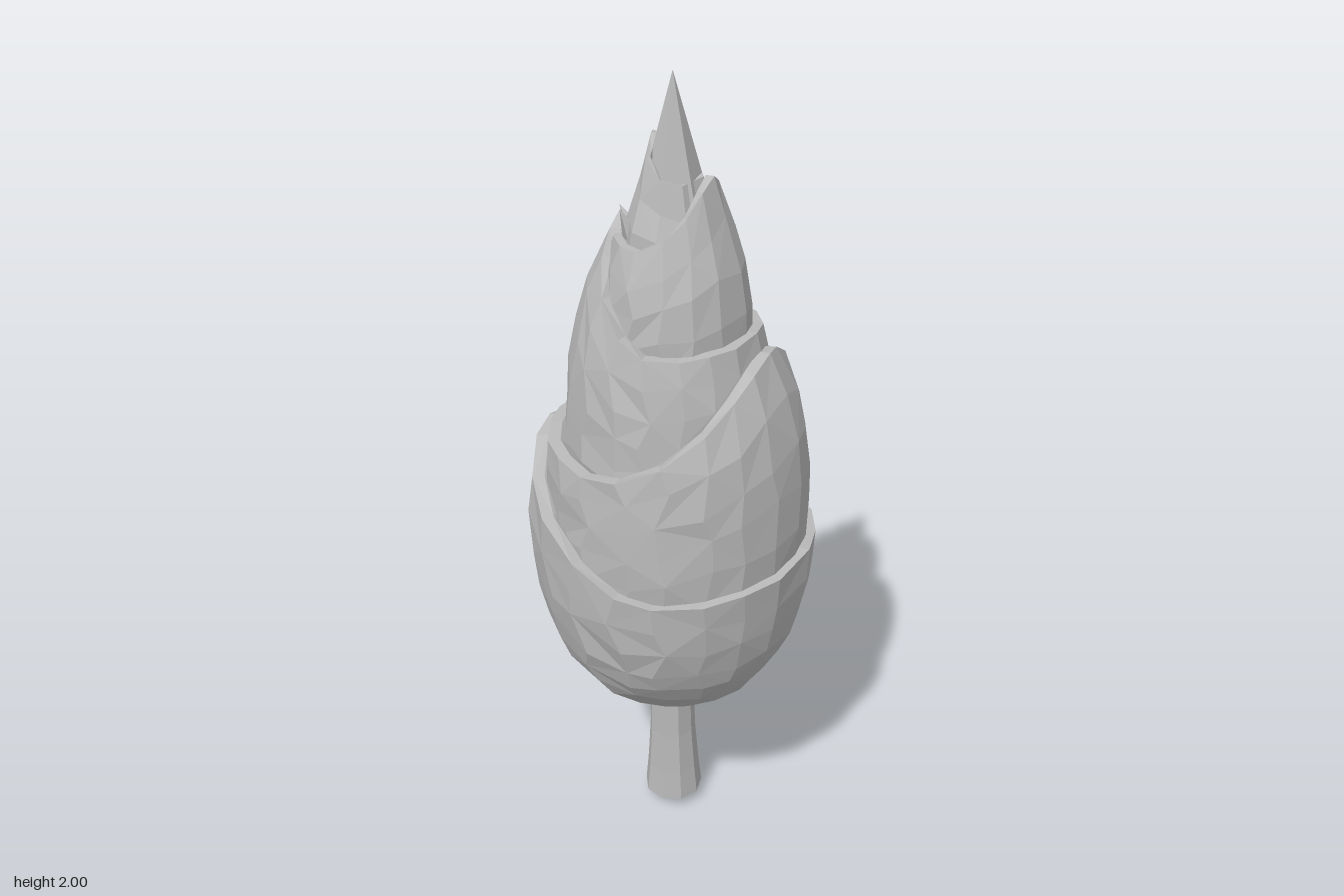
import * as THREE from 'three';

const grey = new THREE.MeshStandardMaterial({ color: 0xbababa, flatShading: true });
grey.name = 'plainGrey';

// Small repeatable noise in -1..1
const noise = (a, b) => {
  const s = Math.sin(a * 127.1 + b * 311.7) * 43758.5453;
  return (s - Math.floor(s)) * 2 - 1;
};

// Radius at height y from a list of [y, radius]
function radiusAt(profile, y) {
  if (y <= profile[0][0]) return profile[0][1];
  for (let i = 1; i < profile.length; i++) {
    const [y0, r0] = profile[i - 1], [y1, r1] = profile[i];
    if (y <= y1) return r0 + (r1 - r0) * (y - y0) / (y1 - y0);
  }
  return profile[profile.length - 1][1];
}

// Wrapped sheath: a shell of revolution whose rim rises to a peak on one side
function sheath({ name, profile, lo, hi, side, back = 0, shift = 0, shiftZ = 0, depth = 1, seg = 20, rows = 6, thick = 0.03, ease = 1, seed, rough = 0.003 }) {
  const pos = [], index = [], y0 = profile[0][0];
  for (let i = 0; i <= rows + 2; i++) {
    const row = Math.min(i, rows), t = Math.pow(row / rows, ease);
    for (let j = 0; j < seg; j++) {
      const a = ((j + (row === 0 ? 0 : 0.2 * noise(seed + row, j))) / seg) * Math.PI * 2;
      const c = Math.cos(a) * side;
      const rise = Math.pow(Math.max(0, (c + 0.35) / 1.35), 1.8);
      const rim = lo + (hi - lo) * rise + back * Math.max(0, -c) ** 2 + rough * noise(j, seed);
      let y = y0 + (rim - y0) * t;
      if (row > 0 && row < rows) y += 0.014 * noise(seed * 5 + row, j);
      let r = radiusAt(profile, y) + rough * noise(seed * 3 + row, j + 7);
      if (i > rows) r -= thick;                          // lip turning inwards
      if (i === rows + 2) { y -= 0.06; r *= 0.75; }      // gutter running under the next sheath
      pos.push(shift + Math.cos(a) * r, y, shiftZ + Math.sin(a) * r * depth);
    }
  }
  for (let i = 0; i < rows + 2; i++) {
    for (let j = 0; j < seg; j++) {
      const k = (j + 1) % seg;
      const a = i * seg + j, b = i * seg + k, c = a + seg, d = b + seg;
      // alternate diagonals for an irregular faceted skin
      if ((i + j) % 2) index.push(a, c, b, b, c, d);
      else index.push(a, c, d, a, d, b);
    }
  }
  const g = new THREE.BufferGeometry();
  g.setAttribute('position', new THREE.Float32BufferAttribute(pos, 3));
  g.setIndex(index);
  g.computeVertexNormals();
  const m = new THREE.Mesh(g, grey);
  m.name = name;
  return m;
}

// Thin pointed leaf tip between two points
function spike(base, tip, radius, name, sides = 4) {
  const a = new THREE.Vector3(...base), b = new THREE.Vector3(...tip);
  const dir = b.clone().sub(a);
  const m = new THREE.Mesh(new THREE.ConeGeometry(radius, dir.length(), sides), grey);
  m.position.copy(a).add(b).multiplyScalar(0.5);
  m.quaternion.setFromUnitVectors(new THREE.Vector3(0, 1, 0), dir.normalize());
  m.name = name;
  return m;
}

export function createModel() {
  const group = new THREE.Group();
  group.name = 'shoot';

  // Slightly leaning stalk with flared, pointed foot
  const foot = [[0, 0], [0.077, 0.035], [0.069, 0.12], [0.061, 0.24], [0.058, 0.38], [0.058, 0.45]];
  const stalk = new THREE.Mesh(
    new THREE.LatheGeometry(foot.map(([r, y]) => new THREE.Vector2(r, y)), 9), grey);
  stalk.position.set(-0.006, 0, -0.012);
  stalk.rotation.x = 0.03;
  stalk.name = 'stalk';
  group.add(stalk);

  // Overlapping sheaths, peaks alternating left and right
  group.add(
    sheath({
      name: 'outerSheath', side: -1, lo: 0.845, hi: 1.12, back: 0.035, depth: 1.01, seed: 1, rows: 8, ease: 1.4, thick: 0.03,
      profile: [[0.4, 0.05], [0.41, 0.12], [0.43, 0.162], [0.48, 0.228], [0.57, 0.289], [0.67, 0.328], [0.77, 0.345], [0.87, 0.354], [0.96, 0.356], [1.05, 0.345], [1.12, 0.33]]
    }),
    sheath({
      name: 'secondSheath', side: 1, lo: 1.135, hi: 1.385, back: 0.02, shift: 0.015, shiftZ: 0.008, depth: 1.03, seed: 2,
      profile: [[0.75, 0.3], [0.9, 0.318], [1.1, 0.315], [1.17, 0.305], [1.25, 0.288], [1.33, 0.255], [1.39, 0.22]]
    }),
    sheath({
      name: 'thirdSheath', side: -1, lo: 1.405, hi: 1.665, back: 0.02, shift: -0.01, shiftZ: 0.005, depth: 0.96, seed: 3, seg: 18,
      profile: [[1.0, 0.265], [1.17, 0.248], [1.3, 0.242], [1.38, 0.228], [1.46, 0.208], [1.53, 0.185], [1.6, 0.155], [1.67, 0.122]]
    }),
    sheath({
      name: 'fourthSheath', side: 1, lo: 1.63, hi: 1.78, shift: 0.008, shiftZ: 0.008, seed: 4, seg: 14, rows: 5, thick: 0.02,
      profile: [[1.28, 0.17], [1.42, 0.18], [1.53, 0.17], [1.6, 0.15], [1.67, 0.125], [1.78, 0.088]]
    }),
    sheath({
      name: 'fifthSheath', side: -1, lo: 1.77, hi: 1.87, shift: -0.005, shiftZ: 0.005, seed: 5, seg: 9, rows: 4, thick: 0.012, rough: 0.008,
      profile: [[1.5, 0.125], [1.62, 0.115], [1.7, 0.092], [1.78, 0.07], [1.87, 0.045]]
    })
  );

  // Pointed crown and ragged leaf tips
  group.add(spike([0.004, 1.68, 0.008], [0.005, 2, 0.018], 0.088, 'crown', 6));
  const tips = [
    [[-0.07, 1.6, 0.02], [-0.125, 1.69, 0.02]],
    [[-0.07, 1.62, 0.05], [-0.095, 1.7, 0.08]],
    [[-0.07, 1.62, -0.04], [-0.1, 1.74, -0.05]],
    [[-0.02, 1.7, -0.02], [-0.035, 1.89, -0.015]],
    [[0.03, 1.64, -0.05], [0.015, 1.75, -0.08]],
    [[0.06, 1.66, 0.02], [0.1, 1.78, 0.01]]
  ];
  tips.forEach(([a, b], i) => group.add(spike(a, b, 0.035, 'leafTip' + (i + 1))));

  return group;
}
